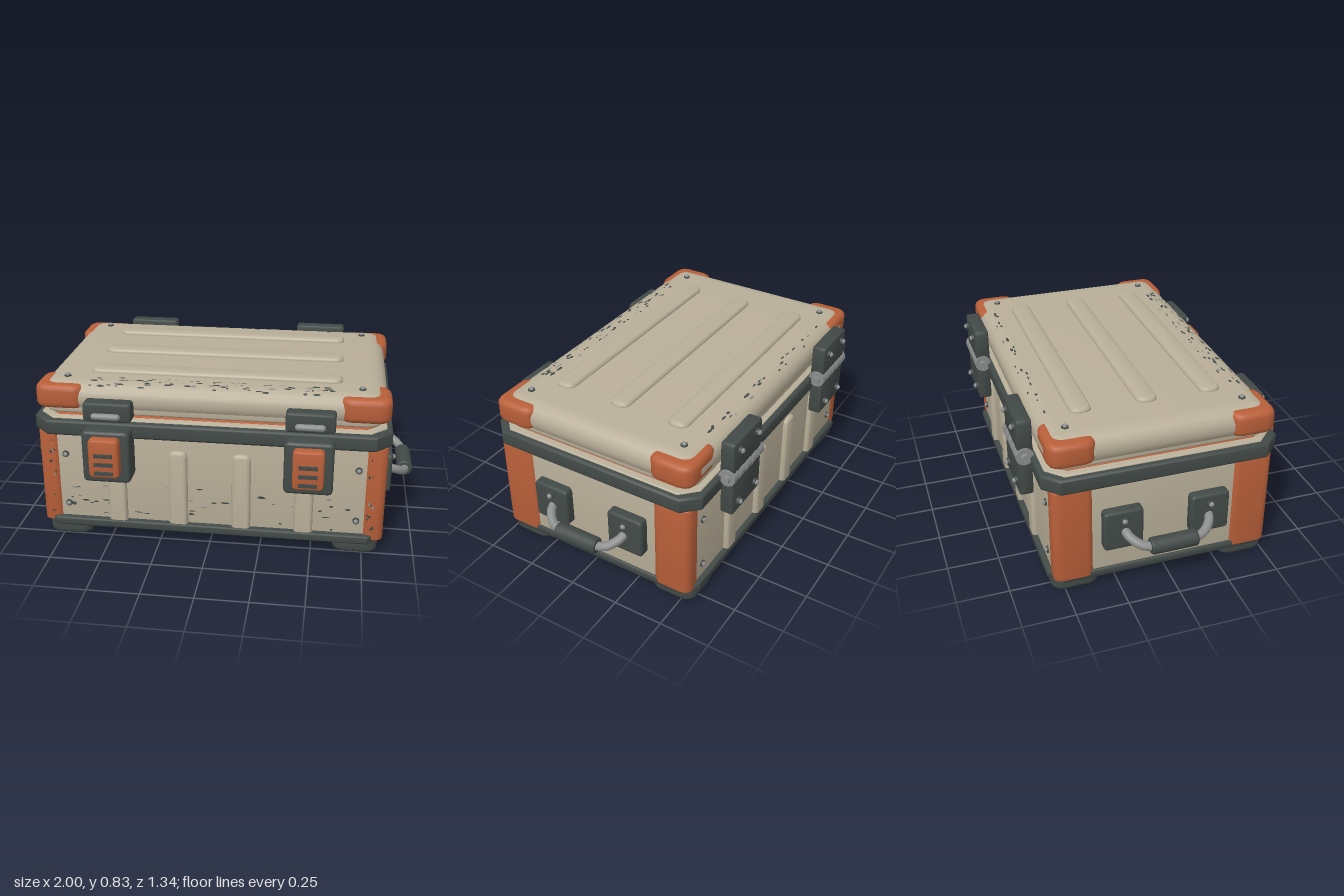
import * as THREE from 'three';
import { toCreasedNormals, mergeGeometries } from 'three/addons/utils/BufferGeometryUtils.js';

const material = (name, color) => Object.assign(new THREE.MeshStandardMaterial({ color }), { name });

// Rectangle with corners cut (n = 1) or rounded (n > 1)
function outline(w, h, r, n) {
  const pts = [];
  [[1, 1], [-1, 1], [-1, -1], [1, -1]].forEach(([sx, sy], q) => {
    for (let i = 0; i <= n; i++) {
      const a = (q + i / n) * Math.PI / 2;
      pts.push(new THREE.Vector2(sx * (w / 2 - r) + r * Math.cos(a), sy * (h / 2 - r) + r * Math.sin(a)));
    }
  });
  return new THREE.Shape(pts);
}

// Bevelled plate lying in XY, centred, with thickness d along z
function plate(w, h, d, r = 0.03, n = 4, bevel = 0.012, bevelHeight = bevel) {
  const geo = new THREE.ExtrudeGeometry(outline(w, h, r, n), {
    depth: d - 2 * bevelHeight, bevelEnabled: true, bevelSize: bevel, bevelOffset: -bevel,
    bevelThickness: bevelHeight, bevelSegments: 4,
  });
  geo.translate(0, 0, bevelHeight - d / 2);
  return toCreasedNormals(geo, 0.7);
}

export function createModel() {
  const tan = material('tan shell', 0xb9af99);
  const orange = material('orange guard', 0xb85f39);
  const dark = material('dark trim', 0x424a47);
  const steel = material('steel', 0x8b8d8c);
  const model = new THREE.Group();
  model.name = 'storageCase';

  let parent = model;
  const add = (name, geo, mat, x = 0, y = 0, z = 0) => {
    const mesh = new THREE.Mesh(geo, mat);
    mesh.name = name;
    mesh.position.set(x, y, z);
    parent.add(mesh);
    return mesh;
  };
  // Horizontal slab given by its bounds
  const slab = (name, mat, x0, x1, y0, y1, z0, z1, ...shape) => {
    const geo = plate(x1 - x0, z1 - z0, y1 - y0, ...shape).rotateX(-Math.PI / 2);
    return add(name, geo, mat, (x0 + x1) / 2, (y0 + y1) / 2, (z0 + z1) / 2);
  };
  // Upright panel given by its bounds
  const panel = (name, mat, x0, x1, y0, y1, z0, z1, ...shape) =>
    add(name, plate(x1 - x0, y1 - y0, z1 - z0, ...shape), mat, (x0 + x1) / 2, (y0 + y1) / 2, (z0 + z1) / 2);
  // Bolt head: washer and slotted dome facing the given direction
  const bolt = (x, y, z, dir, r = 0.016) => {
    const q = new THREE.Quaternion().setFromUnitVectors(new THREE.Vector3(0, 1, 0), new THREE.Vector3(...dir));
    add('boltWasher', new THREE.CylinderGeometry(r, r * 1.1, 0.012, 16), dark, x, y, z).quaternion.copy(q);
    const head = add('boltHead', new THREE.SphereGeometry(r * 0.75, 12, 6, 0, Math.PI * 2, 0, Math.PI / 2), steel,
      x + dir[0] * 0.005, y + dir[1] * 0.005, z + dir[2] * 0.005);
    head.quaternion.copy(q);
  };
  const group = (name) => {
    parent = new THREE.Group();
    parent.name = name;
    model.add(parent);
    return parent;
  };

  // Lower shell
  group('body');
  slab('bodyShell', tan, -0.835, 0.835, 0.06, 0.6, -0.55, 0.495, 0.05, 4, 0.01);
  slab('bottomTrim', dark, -0.845, 0.845, 0.055, 0.1, -0.575, 0.525, 0.07, 1, 0.01);
  slab('floorPanel', tan, -0.8, 0.8, 0.05, 0.07, -0.53, 0.48, 0.04, 1, 0.003);
  slab('rim', dark, -0.862, 0.862, 0.558, 0.637, -0.59, 0.543, 0.075, 1, 0.014);
  slab('rimLip', tan, -0.835, 0.835, 0.61, 0.645, -0.565, 0.515, 0.075, 1, 0.006);
  slab('seal', orange, -0.8, 0.8, 0.62, 0.649, -0.53, 0.48, 0.06, 1, 0.003);
  for (const s of [-1, 1]) {
    const span = (a, b) => (s > 0 ? [a, b] : [-b, -a]);
    for (const [z0, z1, face, dir] of [[0.305, 0.506, 0.497, 1], [-0.555, -0.36, -0.552, -1]]) {
      slab('cornerGuard', orange, ...span(0.74, 0.848), 0.07, 0.565, z0, z1, 0.04, 5, 0.008);
      const [f0, f1] = dir > 0 ? [0.28, 0.51] : [-0.56, -0.33];
      slab('foot', dark, ...span(0.605, 0.826), 0, 0.075, f0, f1, 0.055, 4, 0.02);
      for (const y of [0.17, 0.44]) bolt(s * 0.715, y, face, [0, 0, dir]);
    }
    // Pressed ribs, front and back
    for (const x of [0.155, 0.46]) {
      panel('frontRib', tan, s * x - 0.046, s * x + 0.046, 0.06, 0.49, 0.475, 0.519, 0.03, 4, 0.018);
      panel('backRib', tan, s * x - 0.046, s * x + 0.046, 0.06, 0.49, -0.574, -0.53, 0.03, 4, 0.018);
    }
  }

  // Lid with pressed ribs and corner caps
  group('lid');
  slab('lidShell', tan, -0.832, 0.832, 0.656, 0.81, -0.563, 0.502, 0.085, 4, 0.08, 0.065);
  slab('lidSkirt', tan, -0.815, 0.815, 0.657, 0.72, -0.55, 0.49, 0.08, 4, 0.012);
  for (const z of [0.28, -0.03, -0.345]) {
    slab('lidRib', tan, -0.617, 0.617, 0.78, 0.83, z - 0.051, z + 0.051, 0.04, 4, 0.018);
  }
  for (const s of [-1, 1]) {
    const [x0, x1] = s > 0 ? [0.605, 0.85] : [-0.85, -0.605];
    for (const [z0, z1] of [[0.29, 0.51], [-0.562, -0.34]]) {
      slab('lidCornerCap', orange, x0, x1, 0.68, 0.8, z0, z1, 0.055, 3, 0.03);
    }
    bolt(s * 0.71, 0.81, 0.39, [0, 1, 0]);
    bolt(s * 0.71, 0.81, -0.45, [0, 1, 0]);
  }

  // Front latches
  for (const x of [-0.48, 0.48]) {
    group('latch');
    panel('latchPlate', dark, x - 0.116, x + 0.116, 0.358, 0.62, 0.5, 0.62, 0.022, 3, 0.015);
    panel('latchLever', orange, x - 0.073, x + 0.073, 0.403, 0.598, 0.6, 0.666, 0.02, 3, 0.012);
    for (const y of [0.43, 0.475, 0.52]) {
      add('leverGrip', new THREE.BoxGeometry(0.088, 0.017, 0.016), dark, x, y, 0.667);
    }
    panel('latchCatch', dark, x - 0.116, x + 0.116, 0.648, 0.744, 0.485, 0.567, 0.015, 3, 0.012);
    add('catchBar', new THREE.CapsuleGeometry(0.016, 0.11, 4, 12).rotateZ(Math.PI / 2), steel, x, 0.686, 0.587);
    for (const s of [-1, 1]) add('barMount', new THREE.BoxGeometry(0.016, 0.016, 0.03), steel, x + s * 0.05, 0.686, 0.572);
  }

  // Back hinges
  for (const x of [-0.48, 0.48]) {
    group('hinge');
    panel('lowerLeaf', dark, x - 0.133, x + 0.133, 0.422, 0.625, -0.645, -0.58, 0.015, 3, 0.01);
    panel('upperLeaf', dark, x - 0.133, x + 0.133, 0.645, 0.815, -0.645, -0.575, 0.015, 3, 0.01);
    panel('hingeWeb', dark, x - 0.13, x + 0.13, 0.6, 0.67, -0.64, -0.58, 0.01, 1, 0.005);
    add('hingePin', new THREE.CylinderGeometry(0.02, 0.02, 0.325, 14).rotateZ(Math.PI / 2), steel, x, 0.635, -0.615);
    for (let i = -2; i <= 2; i++) {
      add('hingeKnuckle', new THREE.CylinderGeometry(0.042, 0.042, 0.05, 18).rotateZ(Math.PI / 2), steel,
        x + i * 0.059, 0.635, -0.615);
    }
    for (const s of [-1, 1]) {
      for (const y of [0.48, 0.765]) bolt(x + s * 0.08, y, -0.65, [0, 0, -1], 0.018);
    }
  }

  // Side handles, symmetric about their own centre
  for (const s of [1, -1]) {
    const handle = group(s > 0 ? 'leftHandle' : 'rightHandle');
    handle.position.z = -0.024;
    handle.rotation.y = s > 0 ? 0 : Math.PI;
    for (const t of [1, -1]) {
      add('handleMount', plate(0.188, 0.205, 0.08, 0.018, 3, 0.012).rotateY(Math.PI / 2), dark, 0.843, 0.327, t * 0.21);
      bolt(0.885, 0.38, t * 0.21, [1, 0, 0], 0.018);
      const path = new THREE.CatmullRomCurve3([[0.87, 0.32, 0.205], [0.905, 0.305, 0.195], [0.945, 0.28, 0.155],
        [0.96, 0.27, 0.11], [0.96, 0.27, 0.08]].map(([x, y, z]) => new THREE.Vector3(x, y, z * t)));
      add('handleArm', new THREE.TubeGeometry(path, 16, 0.022, 12), steel);
    }
    const profile = [[0, -0.113], [0.034, -0.113], [0.04, -0.105], [0.04, 0.105], [0.034, 0.113], [0, 0.113]]
      .map(([r, y]) => new THREE.Vector2(r, y));
    const grip = toCreasedNormals(new THREE.LatheGeometry(profile, 20), 0.6).rotateX(Math.PI / 2);
    add('handleGrip', grip, dark, 0.96, 0.27, 0);
  }

  // Paint chips: small flat flakes scattered by a seeded rule
  group('paintChips');
  let seed = 7;
  const rnd = (a, b) => {
    seed = (seed * 16807) % 2147483647;
    return a + (b - a) * seed / 2147483647;
  };
  const flakes = { dark: [], steel: [] };
  const flake = (w, h, tilt, x, y, z) => {
    const geo = new THREE.CircleGeometry(1, 6).rotateZ(rnd(0, 1)).scale(w, h, 1).rotateX(tilt).translate(x, y, z);
    flakes[rnd(0, 1) < 0.7 ? 'dark' : 'steel'].push(geo);
  };
  // Along the rounded lid edges
  const lidChip = (side) => {
    const inset = rnd(0.03, side > 0 ? 0.12 : 0.08);
    const c = Math.max(0, (0.08 - inset) / 0.08);
    const y = 0.745 + 0.065 * Math.sqrt(1 - c * c);
    const slope = Math.atan2(c * 0.065, Math.sqrt(1 - c * c) * 0.08);
    const z = side > 0 ? 0.502 - inset : -0.563 + inset;
    flake(rnd(0.006, 0.022), rnd(0.003, 0.008), -Math.PI / 2 + side * slope, rnd(-0.58, 0.6), y + 0.002, z + side * 0.001);
  };
  for (let i = 0; i < 75; i++) lidChip(1);
  for (let i = 0; i < 25; i++) lidChip(-1);
  // Low on the front wall and on the front guards
  for (let i = 0; i < 50; i++) flake(rnd(0.006, 0.024), rnd(0.002, 0.006), 0, rnd(-0.7, 0.7), rnd(0.11, 0.29), 0.497);
  for (let i = 0; i < 22; i++) {
    const s = i % 2 ? 1 : -1;
    flake(rnd(0.003, 0.007), rnd(0.004, 0.012), 0, s * rnd(0.765, 0.8), rnd(0.12, 0.52), 0.508);
  }
  add('darkChips', mergeGeometries(flakes.dark), dark);
  add('steelChips', mergeGeometries(flakes.steel), steel);
  return model;
}
